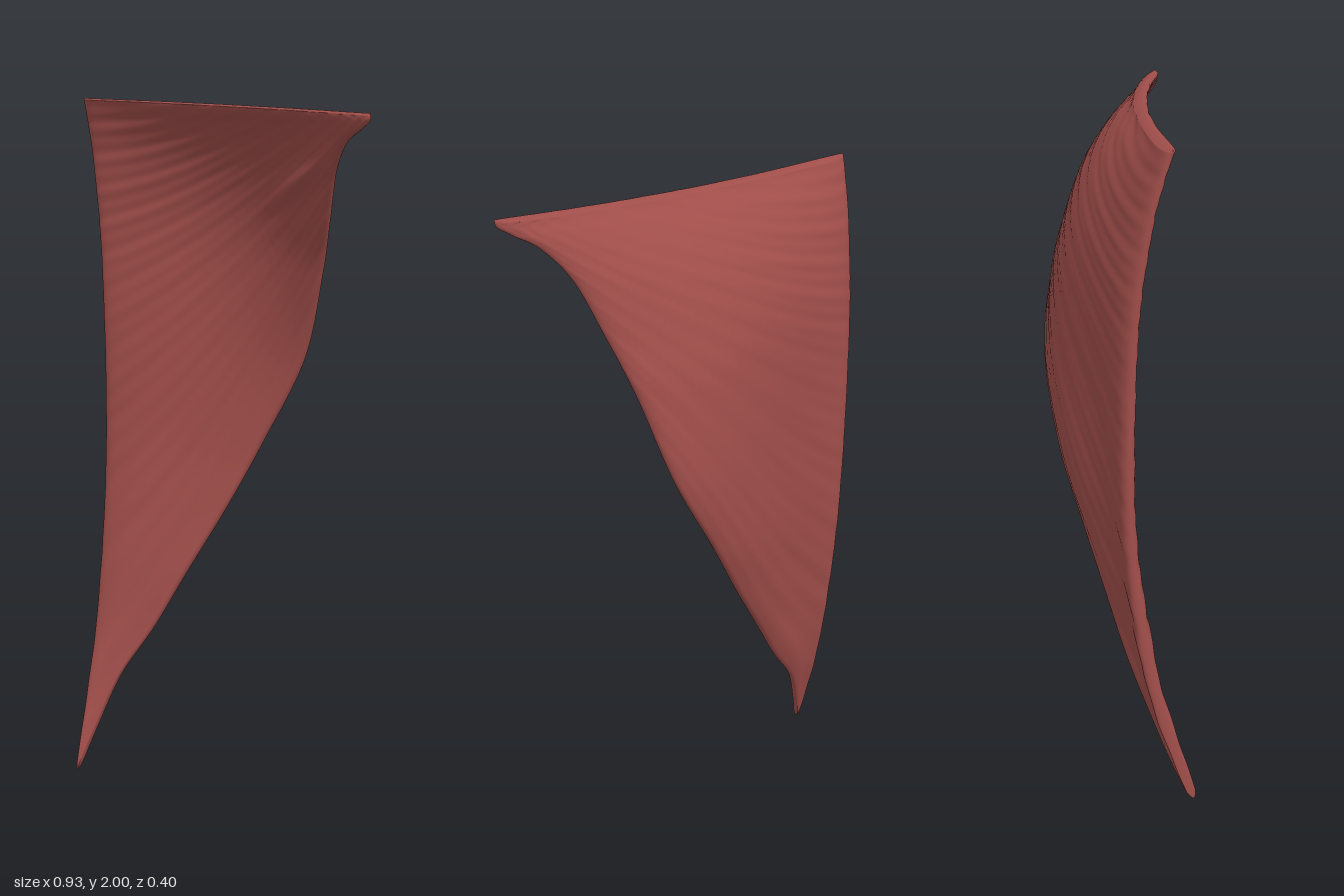
import * as THREE from 'three';

// Fibre rows from the bottom point to the top edge:
// [spine y, spine z, outer x, outer y, outer z, middle z, spine thickness, outer thickness]
const ROWS = [
  [0.00, 0.128, -0.462, 0.005, 0.124, 0.126, 0.03, 0.03],
  [0.12, 0.090, -0.427, 0.12, 0.082, 0.086, 0.035, 0.03],
  [0.28, 0.042, -0.37, 0.28, 0.028, 0.034, 0.04, 0.035],
  [0.43, 0.004, -0.278, 0.43, -0.018, -0.009, 0.042, 0.04],
  [0.60, -0.026, -0.188, 0.60, -0.062, -0.043, 0.045, 0.045],
  [0.80, -0.052, -0.08, 0.80, -0.118, -0.084, 0.045, 0.045],
  [1.00, -0.066, 0.02, 1.00, -0.163, -0.118, 0.045, 0.05],
  [1.25, -0.068, 0.145, 1.25, -0.177, -0.138, 0.048, 0.05],
  [1.50, -0.060, 0.223, 1.50, -0.115, -0.138, 0.048, 0.055],
  [1.65, -0.048, 0.273, 1.65, -0.038, -0.122, 0.048, 0.055],
  [1.75, -0.033, 0.32, 1.78, 0.042, -0.090, 0.045, 0.055],
  [1.85, -0.016, 0.375, 1.85, 0.115, -0.047, 0.042, 0.05],
  [1.93, 0.005, 0.435, 1.882, 0.168, 0, 0.04, 0.045],
  [1.98, 0.02, 0.463, 1.90, 0.186, 0.04, 0.038, 0.04],
  [2.00, 0.028, 0.468, 1.92, 0.19, 0.054, 0.035, 0.035],
];
const ALONG = 240, ACROSS = 60;

const curve = (pick) =>
  new THREE.CatmullRomCurve3(ROWS.map((r) => new THREE.Vector3(...pick(r))), false, 'catmullrom', 0.5);

// The spine edge bows very slightly inwards between its ends
const spineX = (y) => -0.465 + 0.008 * Math.sin((Math.PI * y) / 2);

// Shallow ridges that fan out from the shoulder tip
function fibre(x, y) {
  const a = Math.atan2(2.02 - y, 0.6 - x);
  return 0.001 * Math.sin(a * 150 + 3 * Math.sin(x * 6)) + 0.001 * Math.sin(a * 67 + 2 * Math.sin(y * 5));
}

// Small fold in the front face where the fibres gather under the tip
function fold(x, y) {
  const along = (x - 0.2) / 0.1, across = (y - 1.735 - (x - 0.15) * 0.5) / 0.03;
  return 0.022 * Math.exp(-along * along - across * across);
}

function muscleGeometry() {
  const spine = curve((r) => [spineX(r[0]), r[0], r[1]]);
  const outer = curve((r) => [r[2], r[3], r[4]]);
  const middle = curve((r) => [(r[2] + spineX(r[0])) / 2, (r[0] + r[3]) / 2 + 0.006, r[5]]);
  const thick = curve((r) => [r[6], r[7], 0]);
  const loop = ACROSS * 2, pos = [], index = [];

  for (let j = 0; j <= ALONG; j++) {
    const v = j / ALONG;
    const a = spine.getPoint(v), b = outer.getPoint(v), m = middle.getPoint(v);
    const control = m.clone().multiplyScalar(2).addScaledVector(a, -0.5).addScaledVector(b, -0.5);
    const row = new THREE.QuadraticBezierCurve3(a, control, b);
    const t = thick.getPoint(v);
    const close = Math.sqrt(Math.min(1, v * 60, (1 - v) * 40));
    // The hollow is deepest towards the outer edge
    const skew = 0.013 * Math.sin(Math.PI * v);
    // Closed section: front face outwards, back face returning
    for (let k = 0; k < loop; k++) {
      const front = k < ACROSS;
      const s = front ? k / ACROSS : 2 - k / ACROSS;
      const u = (1 - Math.cos(Math.PI * s)) / 2;
      const p = row.getPoint(u);
      p.z += skew * Math.sin(2 * Math.PI * u);
      const round = Math.sqrt(Math.max(0, 1 - Math.pow(Math.abs(2 * u - 1), 16))) * close;
      const half = THREE.MathUtils.lerp(t.x, t.y, u) / 2 + fibre(p.x, p.y);
      pos.push(p.x, p.y, p.z + (front ? half + fold(p.x, p.y) : -half) * round);
    }
  }
  for (let j = 0; j < ALONG; j++) {
    for (let k = 0; k < loop; k++) {
      const k2 = (k + 1) % loop;
      const p = j * loop + k, q = j * loop + k2, r = p + loop, s = q + loop;
      index.push(p, q, s, p, s, r);
    }
  }
  const g = new THREE.BufferGeometry();
  g.setAttribute('position', new THREE.Float32BufferAttribute(pos, 3));
  g.setIndex(index);
  g.computeVertexNormals();
  return g;
}

export function createModel() {
  const group = new THREE.Group();
  group.name = 'backMuscle';
  const muscleRed = new THREE.MeshStandardMaterial({ color: 0xa04e4a });
  muscleRed.name = 'muscleRed';
  const sheet = new THREE.Mesh(muscleGeometry(), muscleRed);
  sheet.name = 'muscleSheet';
  group.add(sheet);
  return group;
}
